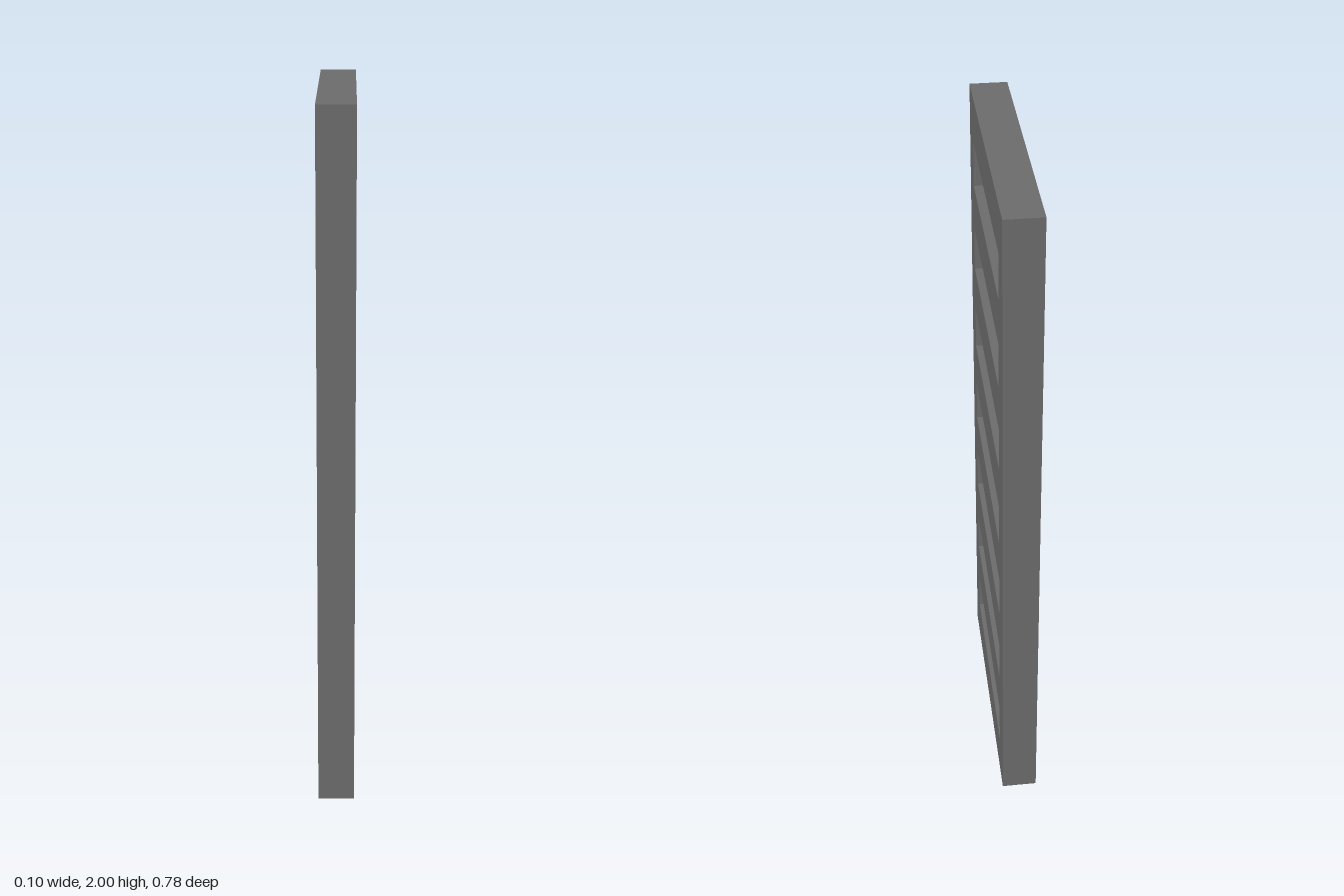
import * as THREE from 'three';

const HEIGHT = 2, WIDTH = 0.776, THICK = 0.104;
const BACK = 0.02; // solid wall behind the slots
const SLOTS = 7, SLOT_W = 0.61, SLOT_H = 0.1333, PITCH = 0.2667;

function rectangle(path, w, y0, y1) {
  path.moveTo(-w / 2, y0);
  path.lineTo(w / 2, y0);
  path.lineTo(w / 2, y1);
  path.lineTo(-w / 2, y1);
  path.closePath();
  return path;
}

export function createModel() {
  const group = new THREE.Group();
  group.name = 'ventPanel';

  const grey = new THREE.MeshStandardMaterial({ color: 0x6b6b6b });
  grey.name = 'grey';
  const dark = new THREE.MeshStandardMaterial({ color: 0x222222 });
  dark.name = 'dark';

  const add = (name, geometry, material, x, y) => {
    const mesh = new THREE.Mesh(geometry, material);
    mesh.name = name;
    mesh.position.set(x, y, 0);
    group.add(mesh);
  };

  const wallX = -THICK / 2 + BACK;
  const slotY = (i) => HEIGHT / 2 + (i - (SLOTS - 1) / 2) * PITCH;

  // Slotted frame, opening towards +x
  const outline = rectangle(new THREE.Shape(), WIDTH, 0, HEIGHT);
  for (let i = 0; i < SLOTS; i++) {
    outline.holes.push(rectangle(new THREE.Path(), SLOT_W, slotY(i) - SLOT_H / 2, slotY(i) + SLOT_H / 2));
  }
  const frame = new THREE.ExtrudeGeometry(outline, { depth: THICK - BACK, bevelEnabled: false });
  frame.rotateY(Math.PI / 2);
  add('slottedFrame', frame, grey, wallX, 0);

  // Solid back wall
  add('backWall', new THREE.BoxGeometry(BACK, HEIGHT, WIDTH), grey, wallX - BACK / 2, HEIGHT / 2);

  // Dark plate at the bottom of each slot
  for (let i = 0; i < SLOTS; i++) {
    add('slotBacking' + (i + 1), new THREE.BoxGeometry(0.002, SLOT_H, SLOT_W), dark, wallX + 0.001, slotY(i));
  }

  return group;
}
